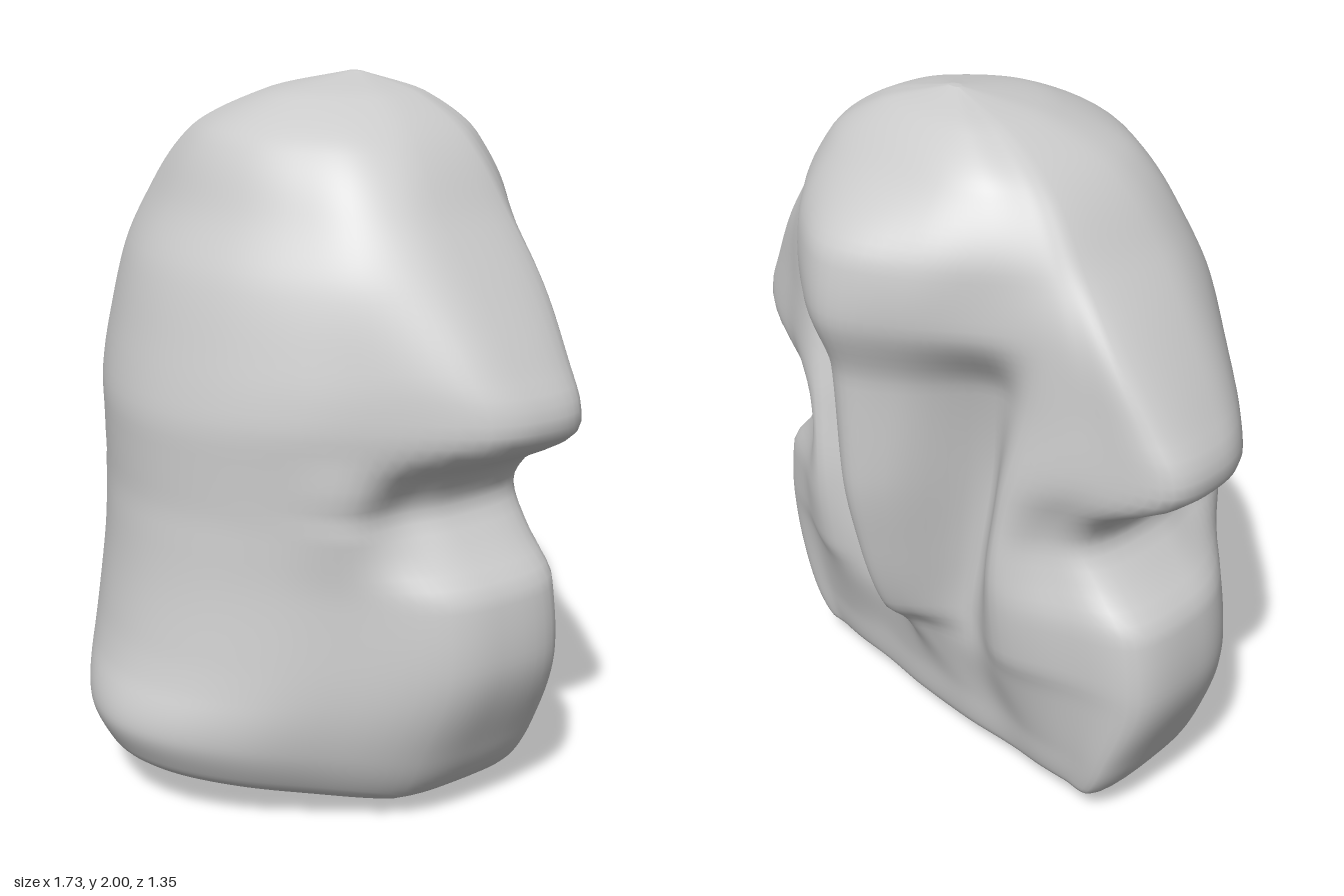
import * as THREE from 'three';

// Outer form by height: y, half width, width of the front curve, front z, side front z, side back z
const FORM = [
  [0, 0.02, 0.02, 0.16, 0.14, 0.12],
  [0.02, 0.27, 0.27, 0.4, 0.09, -0.06],
  [0.045, 0.54, 0.54, 0.6, 0.04, -0.21],
  [0.09, 0.62, 0.61, 0.64, 0.04, -0.27],
  [0.22, 0.695, 0.68, 0.68, 0.04, -0.28],
  [0.5, 0.785, 0.765, 0.61, 0.02, -0.26],
  [0.68, 0.762, 0.76, 0.575, 0.02, -0.26],
  [0.8, 0.66, 0.75, 0.56, 0.04, -0.26],
  [0.91, 0.59, 0.75, 0.55, 0.05, -0.27],
  [1.0, 0.64, 0.77, 0.55, 0.03, -0.27],
  [1.1, 0.81, 0.81, 0.55, -0.01, -0.25],
  [1.15, 0.855, 0.835, 0.545, -0.03, -0.24],
  [1.2, 0.85, 0.835, 0.535, -0.03, -0.24],
  [1.3, 0.795, 0.8, 0.51, 0.0, -0.25],
  [1.5, 0.665, 0.72, 0.45, 0.03, -0.27],
  [1.65, 0.555, 0.62, 0.37, 0.05, -0.26],
  [1.84, 0.41, 0.46, 0.27, 0.0, -0.24],
  [1.95, 0.23, 0.24, 0.07, -0.11, -0.23],
  [2, 0.02, 0.02, -0.19, -0.2, -0.21],
];

// Back relief by height: y, centre z, then x and z of ridge flank, groove and side lock
const BACK = [
  [0, 0.1, 0.005, 0.1, 0.01, 0.1, 0.015, 0.11],
  [0.02, -0.18, 0.07, -0.17, 0.13, -0.14, 0.2, -0.1],
  [0.045, -0.27, 0.13, -0.265, 0.26, -0.25, 0.4, -0.23],
  [0.09, -0.3, 0.13, -0.3, 0.27, -0.29, 0.42, -0.29],
  [0.22, -0.32, 0.11, -0.32, 0.25, -0.31, 0.41, -0.32],
  [0.44, -0.42, 0.06, -0.39, 0.2, -0.35, 0.37, -0.39],
  [0.53, -0.5, 0.065, -0.46, 0.2, -0.35, 0.38, -0.42],
  [0.75, -0.57, 0.085, -0.51, 0.23, -0.34, 0.38, -0.44],
  [1.0, -0.61, 0.11, -0.54, 0.27, -0.33, 0.4, -0.42],
  [1.3, -0.615, 0.15, -0.53, 0.32, -0.36, 0.46, -0.38],
  [1.5, -0.67, 0.2, -0.58, 0.37, -0.45, 0.49, -0.37],
  [1.65, -0.65, 0.22, -0.56, 0.37, -0.44, 0.47, -0.35],
  [1.84, -0.47, 0.2, -0.44, 0.31, -0.38, 0.37, -0.31],
  [1.95, -0.34, 0.11, -0.33, 0.17, -0.31, 0.205, -0.27],
  [2, -0.215, 0.006, -0.215, 0.012, -0.214, 0.016, -0.212],
];

// Smooth interpolation between the rows of a table
function lookup(table, y) {
  let i = 0;
  while (i < table.length - 2 && y > table[i + 1][0]) i++;
  const a = table[i], b = table[i + 1], h = b[0] - a[0], t = (y - a[0]) / h;
  const slope = (k, c) => {
    if (k === 0 || k === table.length - 1) return (b[c] - a[c]) / h;
    const p = table[k - 1], q = table[k], r = table[k + 1];
    const s1 = (q[c] - p[c]) / (q[0] - p[0]), s2 = (r[c] - q[c]) / (r[0] - q[0]);
    return s1 * s2 <= 0 ? 0 : (2 * s1 * s2) / (s1 + s2);
  };
  return a.map((v, c) => {
    const d = b[c] - v;
    const m0 = slope(i, c) * h, m1 = slope(i + 1, c) * h;
    return v + t * m0 + t * t * (3 * d - 2 * m0 - m1) + t * t * t * (m0 + m1 - 2 * d);
  });
}

// Closed horizontal outline at height y
function outline(y, count) {
  const [, w, wf, zf, zs, ze] = lookup(FORM, y);
  const [, zc, x1, z1, x2, z2, x3, z3] = lookup(BACK, y);
  // The front stays a broad curve where the sides pinch in at the waist
  const front = (u) => zs + (zf - zs) * (1 - u * u);
  const half = [0.25, 0.5, 0.72].map((u) => [Math.min(u * wf, 0.9 * w), front(u)]);
  half.push([0.94 * w, front(0.92)], [w, zs - 0.2 * (zs - ze)], [w * 0.985, ze]);
  half.push([(w + x3) / 2, ze * 0.45 + z3 * 0.55], [x3, z3], [x2, z2], [x1, z1]);
  const mirrored = half.map(([x, z]) => [-x, z]).reverse();
  const points = [[0, zf], ...half, [0, zc], ...mirrored].map(([x, z]) => new THREE.Vector3(x, y, z));
  const curve = new THREE.CatmullRomCurve3(points, true, 'centripetal');
  return Array.from({ length: count }, (_, j) => curve.getPoint(j / count));
}

function bodyGeometry(rows = 100, cols = 132) {
  const position = [], index = [];
  for (let i = 0; i <= rows; i++) {
    const y = 1 - Math.cos((Math.PI * i) / rows);
    for (const p of outline(y, cols)) {
      // The underside rises towards the front
      const lift = 0.2 * Math.max(0, p.z - 0.13) * Math.max(0, 1 - y / 0.4);
      position.push(p.x, y + lift, p.z);
    }
  }
  for (let i = 0; i < rows; i++) {
    for (let j = 0; j < cols; j++) {
      const k = (j + 1) % cols;
      const a = i * cols + j, b = i * cols + k, c = a + cols, d = b + cols;
      index.push(a, b, c, b, d, c);
    }
  }
  // Close both poles
  const bottom = position.length / 3, top = bottom + 1, last = rows * cols;
  position.push(0, 0, 0.13, 0, 2, -0.2);
  for (let j = 0; j < cols; j++) {
    const k = (j + 1) % cols;
    index.push(bottom, k, j, top, last + j, last + k);
  }
  const geometry = new THREE.BufferGeometry();
  geometry.setAttribute('position', new THREE.Float32BufferAttribute(position, 3));
  geometry.setIndex(index);
  geometry.computeVertexNormals();
  return geometry;
}

export function createModel() {
  const group = new THREE.Group();
  const body = new THREE.Mesh(bodyGeometry(), new THREE.MeshStandardMaterial({ color: 0xcccccc }));
  body.name = 'sculptedBody';
  group.add(body);
  return group;
}
